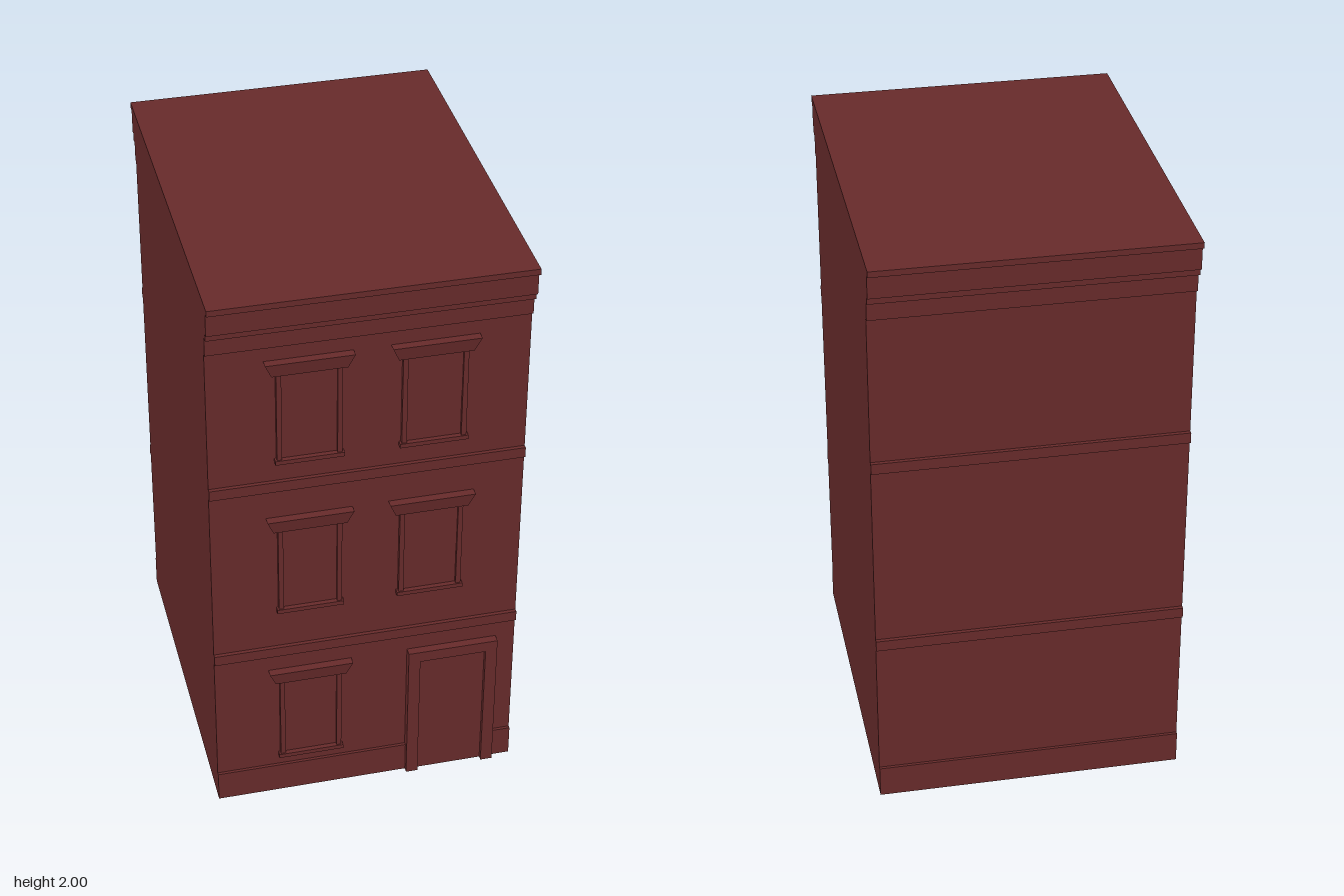
import * as THREE from 'three';

const material = new THREE.MeshStandardMaterial({ color: 0x662a2a, flatShading: true });
const WALL = 0.59; // z of the wall faces
const HALF = 0.51; // half width of the building

function add(parent, name, geometry) {
  const mesh = new THREE.Mesh(geometry, material);
  mesh.name = name;
  parent.add(mesh);
  return mesh;
}

// Box given by its limits
function block(parent, name, x0, x1, y0, y1, z0, z1) {
  const mesh = add(parent, name, new THREE.BoxGeometry(x1 - x0, y1 - y0, z1 - z0));
  mesh.position.set((x0 + x1) / 2, (y0 + y1) / 2, (z0 + z1) / 2);
  return mesh;
}

// Outline swept across the full width: plinth, bands and stepped cornice, front and back alike
function createBody(parent) {
  const side = [
    [0.6, 0], [0.6, 0.11], [WALL, 0.11],
    [WALL, 0.595], [0.603, 0.595], [0.603, 0.632], [WALL, 0.632],
    [WALL, 1.268], [0.603, 1.268], [0.603, 1.305], [WALL, 1.305],
    [WALL, 1.81], [0.603, 1.81], [0.603, 1.875], [0.622, 1.875],
    [0.622, 1.9], [0.635, 1.9], [0.635, 1.98], [0.653, 1.98], [0.653, 2],
  ];
  const outline = [...side, ...side.map(([z, y]) => [-z, y]).reverse()];
  const shape = new THREE.Shape(outline.map(([z, y]) => new THREE.Vector2(z, y)));
  const geometry = new THREE.ExtrudeGeometry(shape, { depth: HALF * 2, bevelEnabled: false });
  geometry.rotateY(-Math.PI / 2).translate(HALF, 0, 0);
  add(parent, 'body', geometry);
}

// Window hung from the top of its hood
function createWindow(x, top) {
  const group = new THREE.Group();
  group.name = 'window';
  group.position.set(x, top, WALL);

  // Hood, tapering downward at the sides and front
  const hood = new THREE.BoxGeometry(0.28, 0.048, 0.028);
  hood.translate(0, -0.024, 0.014);
  const p = hood.attributes.position;
  for (let i = 0; i < p.count; i++) {
    if (p.getY(i) > -0.02) continue;
    p.setX(i, Math.sign(p.getX(i)) * 0.119);
    if (p.getZ(i) > 0.01) p.setZ(i, 0.019);
  }
  hood.computeVertexNormals();
  add(group, 'hood', hood);

  // Jambs, sill and the two sashes
  for (const s of [-1, 1]) {
    block(group, 'jamb', s * 0.096 - 0.008, s * 0.096 + 0.008, -0.365, -0.048, 0, 0.014);
  }
  block(group, 'sill', -0.11, 0.11, -0.38, -0.365, 0, 0.019);
  block(group, 'upperSash', -0.088, 0.088, -0.205, -0.048, 0, 0.006);
  block(group, 'lowerSash', -0.088, 0.088, -0.365, -0.205, 0, 0.003);
  return group;
}

function createDoorway(parent) {
  const shape = new THREE.Shape([
    [0.14, 0], [0.18, 0], [0.18, 0.49], [0.405, 0.49],
    [0.405, 0], [0.445, 0], [0.445, 0.53], [0.14, 0.53],
  ].map(([x, y]) => new THREE.Vector2(x, y)));
  const frame = new THREE.ExtrudeGeometry(shape, { depth: 0.028, bevelEnabled: false });
  frame.translate(0, 0, WALL);
  add(parent, 'doorFrame', frame);
  block(parent, 'door', 0.18, 0.405, 0, 0.49, WALL, 0.602);
}

export function createModel() {
  const model = new THREE.Group();
  model.name = 'townhouse';
  createBody(model);
  for (const top of [1.755, 1.16]) {
    for (const x of [-0.19, 0.207]) model.add(createWindow(x, top));
  }
  model.add(createWindow(-0.19, 0.53));
  createDoorway(model);
  return model;
}
